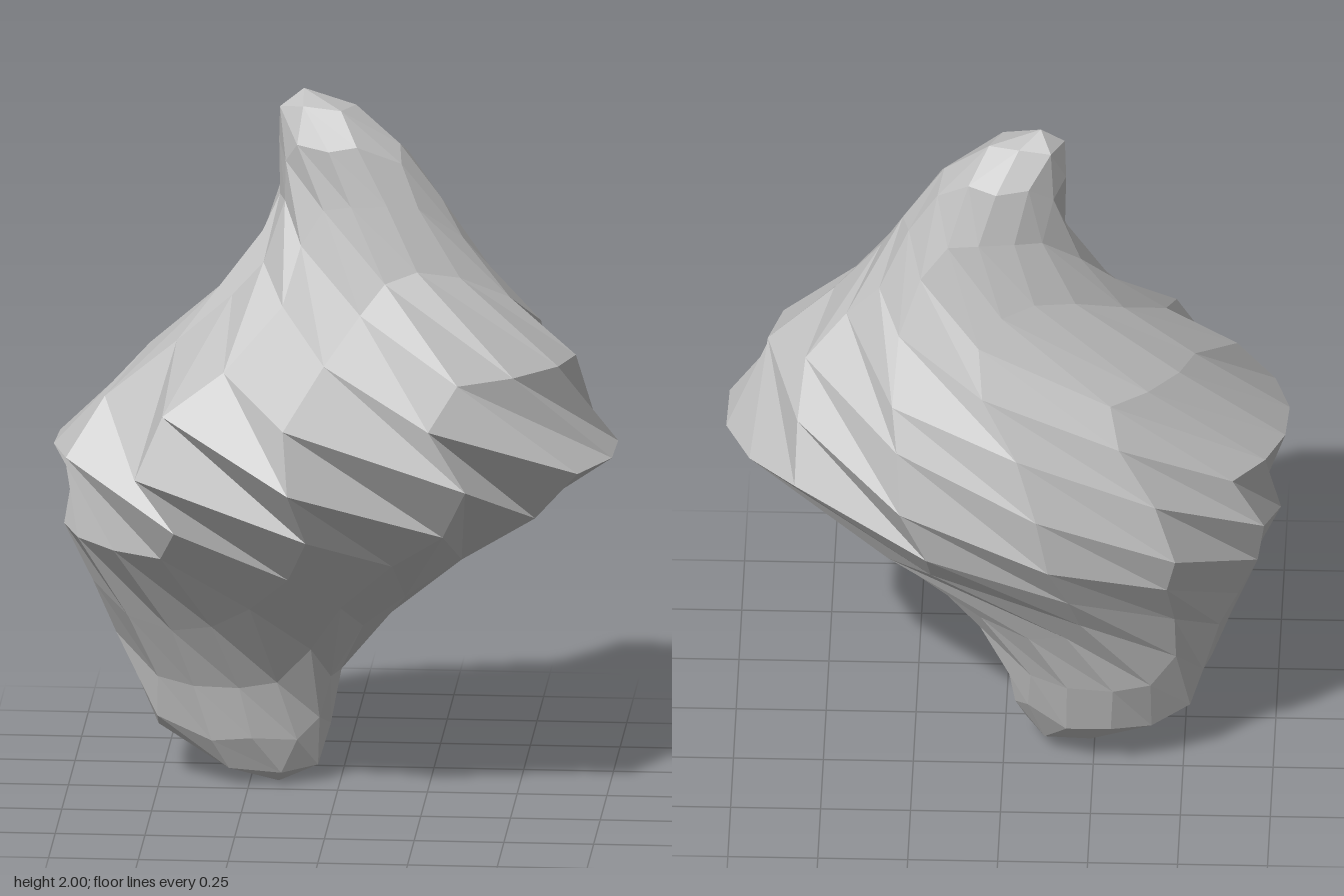
import * as THREE from 'three';

// Level: height from the middle, half width, half depth, centre x, centre z
const LEVELS = [
  [-1.00, 0.00, 0.00, -0.17, -0.09],
  [-0.95, 0.155, 0.102, -0.21, -0.11],
  [-0.86, 0.235, 0.156, -0.265, -0.14],
  [-0.81, 0.265, 0.17, -0.287, -0.147],
  [-0.69, 0.29, 0.186, -0.29, -0.153],
  [-0.60, 0.345, 0.21, -0.28, -0.152],
  [-0.50, 0.40, 0.258, -0.26, -0.125],
  [-0.26, 0.605, 0.437, -0.15, -0.075],
  [-0.16, 0.70, 0.51, -0.08, -0.05],
  [0.00, 0.775, 0.56, 0.00, 0.00],
  [0.16, 0.675, 0.49, 0.02, -0.01],
  [0.26, 0.595, 0.405, 0.065, -0.04],
  [0.46, 0.368, 0.235, 0.075, -0.075],
  [0.54, 0.307, 0.198, 0.07, -0.083],
  [0.69, 0.227, 0.155, 0.06, -0.083],
  [0.81, 0.19, 0.128, 0.02, -0.081],
  [0.86, 0.167, 0.12, -0.005, -0.083],
  [0.95, 0.11, 0.074, -0.06, -0.087],
  [1.00, 0.00, 0.00, -0.10, -0.09],
];
const TWIST = 2; // radians per unit of height
const AXIS_X = -0.1, AXIS_Z = -0.09;

function levelAt(y) {
  let i = 0;
  while (i < LEVELS.length - 2 && y > LEVELS[i + 1][0]) i++;
  const a = LEVELS[i], b = LEVELS[i + 1];
  const t = THREE.MathUtils.clamp((y - a[0]) / (b[0] - a[0]), 0, 1);
  return a.map((v, k) => THREE.MathUtils.lerp(v, b[k], t));
}

// Split every triangle of a unit ball into four
function subdivide(points) {
  const out = [];
  const mid = (a, b) => a.clone().add(b).normalize();
  for (let i = 0; i < points.length; i += 3) {
    const [a, b, c] = points.slice(i, i + 3);
    const ab = mid(a, b), bc = mid(b, c), ca = mid(c, a);
    out.push(a, ab, ca, ab, b, bc, ca, bc, c, ab, bc, ca);
  }
  return out;
}

// Pinch towards both ends, bulge to one side and twist
function shape({ x, y, z }) {
  const [, rx, rz, cx, cz] = levelAt(y);
  if (Math.hypot(x, z) < 1e-4) return new THREE.Vector3(cx, y + 1, cz);
  const angle = Math.atan2(z, x) + TWIST * y;
  const ux = Math.cos(angle), uz = Math.sin(angle);
  // Extra swelling at the back right, just below the middle
  const swell = 1 + 0.07 * Math.exp(-(((y + 0.2) / 0.17) ** 2))
    * Math.max(0, Math.cos(angle - 1.25 * Math.PI)) ** 3;
  // Around the middle the bulge stretches away from the axis
  const stretch = 1 + ((cx - AXIS_X) / rx) * ux + ((cz - AXIS_Z) / rz) * uz;
  // Towards the ends the whole section moves sideways
  const shift = THREE.MathUtils.smoothstep(Math.abs(y), 0.05, 0.45);
  return new THREE.Vector3(
    THREE.MathUtils.lerp(AXIS_X + ux * rx * stretch * swell, cx + ux * rx * swell, shift),
    y + 1,
    THREE.MathUtils.lerp(AXIS_Z + uz * rz * stretch * swell, cz + uz * rz * swell, shift),
  );
}

export function createModel() {
  const group = new THREE.Group();
  group.name = 'twistedRock';
  const stone = new THREE.MeshStandardMaterial({ color: 0xbcbcbc, flatShading: true });
  stone.name = 'greyStone';

  // Faceted ball
  const base = new THREE.IcosahedronGeometry(1, 0).attributes.position;
  let points = [];
  for (let i = 0; i < base.count; i++) points.push(new THREE.Vector3().fromBufferAttribute(base, i));
  for (let i = 0; i < 2; i++) points = subdivide(points);

  const geometry = new THREE.BufferGeometry().setFromPoints(points.map(shape));
  geometry.computeVertexNormals();
  const body = new THREE.Mesh(geometry, stone);
  body.name = 'rockBody';
  group.add(body);
  return group;
}
